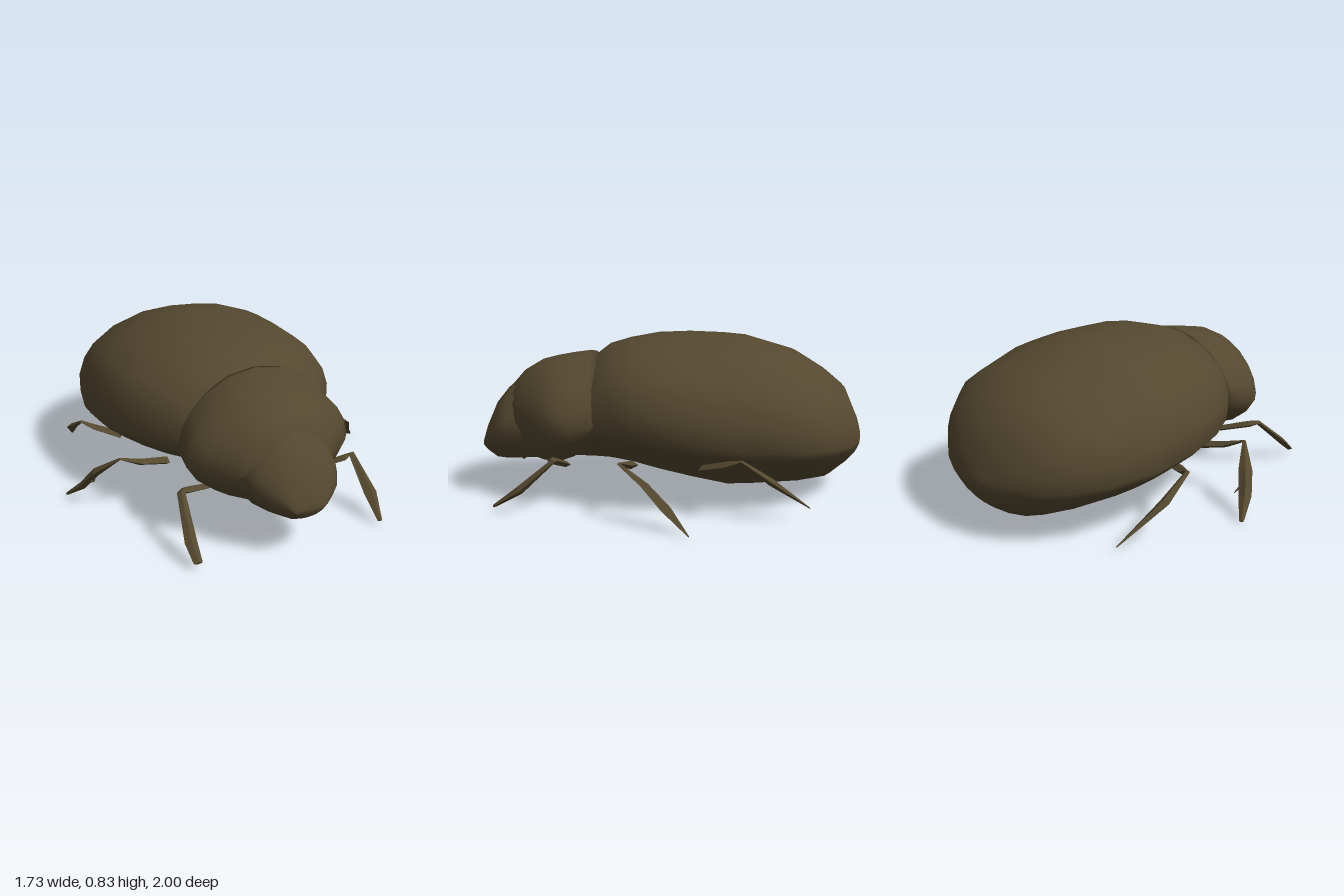
import * as THREE from 'three';

const shell = new THREE.MeshStandardMaterial({ color: 0x54482f });
shell.name = 'dark brown shell';

// Closed skin over a list of equal rings, each running counter-clockwise around the path
function skin(rings, name, faceted = false) {
  const n = rings[0].length, pos = [], index = [];
  rings.forEach(r => r.forEach(p => pos.push(p.x, p.y, p.z)));
  for (let i = 0; i < rings.length - 1; i++)
    for (let j = 0; j < n; j++) {
      const a = i * n + j, b = i * n + (j + 1) % n;
      index.push(a, b, b + n, a, b + n, a + n);
    }
  const last = (rings.length - 1) * n;
  [[rings[0], 0], [rings[rings.length - 1], last]].forEach(([ring, start], end) => {
    const c = ring.reduce((s, p) => s.add(p), new THREE.Vector3()).divideScalar(n);
    const k = pos.length / 3;
    pos.push(c.x, c.y, c.z);
    for (let j = 0; j < n; j++) {
      const a = start + j, b = start + (j + 1) % n;
      if (end) index.push(k, a, b); else index.push(k, b, a);
    }
  });
  let geo = new THREE.BufferGeometry();
  geo.setAttribute('position', new THREE.Float32BufferAttribute(pos, 3));
  geo.setIndex(index);
  if (faceted) geo = geo.toNonIndexed();
  geo.computeVertexNormals();
  const mesh = new THREE.Mesh(geo, shell);
  mesh.name = name;
  return mesh;
}

// Half outlines from belly keel to crown: [share of half width, height from -1 to 1 about the widest line]
const caseOutline = [[0, -1], [0.27, -0.89], [0.55, -0.68], [0.76, -0.4], [0.93, -0.13], [1, 0.02],
  [1, 0.25], [0.94, 0.47], [0.84, 0.64], [0.62, 0.84], [0.3, 0.975], [0, 1]];
const headOutline = [[0, -1], [0.35, -0.93], [0.66, -0.7], [0.88, -0.36], [1, 0],
  [0.95, 0.25], [0.85, 0.47], [0.64, 0.73], [0.34, 0.93], [0, 1]];

// Each row is [z, left x, right x, bottom, widest height, top]
function loft(rows, outline, name) {
  const mirrored = outline.slice(1, -1).reverse().map(([x, y]) => [-x, y]);
  const loop = [...outline, ...mirrored];
  return skin(rows.map(([z, x0, x1, bottom, mid, top]) => loop.map(([x, y]) => new THREE.Vector3(
    (x0 + x1) / 2 + x * (x1 - x0) / 2, mid + y * (y > 0 ? top - mid : mid - bottom), z))), name);
}

// Thin blade-like limb: joints are [x, y, z, half width]
function limb(joints, name) {
  const pts = joints.map(j => new THREE.Vector3(j[0], j[1], j[2]));
  const rings = pts.map((p, i) => {
    const t = pts[Math.min(i + 1, pts.length - 1)].clone().sub(pts[Math.max(i - 1, 0)]).normalize();
    const u = new THREE.Vector3(0, 1, 0).cross(t).normalize();
    const v = t.clone().cross(u);
    const w = joints[i][3];
    return [0, 1, 2, 3].map(k => p.clone()
      .addScaledVector(u, Math.cos(k * Math.PI / 2) * w)
      .addScaledVector(v, Math.sin(k * Math.PI / 2) * w * 0.6));
  });
  return skin(rings, name, true);
}

export function createModel() {
  const beetle = new THREE.Group();
  beetle.name = 'beetle';

  // Wing case and belly
  beetle.add(loft([
    [-1.0, -0.12, 0.03, 0.23, 0.27, 0.32],
    [-0.96, -0.26, 0.19, 0.17, 0.28, 0.42],
    [-0.9, -0.37, 0.3, 0.12, 0.28, 0.555],
    [-0.8, -0.48, 0.43, 0.05, 0.29, 0.64],
    [-0.65, -0.575, 0.55, 0.035, 0.3, 0.735],
    [-0.4, -0.63, 0.58, 0.02, 0.31, 0.81],
    [-0.28, -0.635, 0.585, 0.018, 0.32, 0.822],
    [-0.1, -0.635, 0.585, 0.06, 0.34, 0.83],
    [0.07, -0.61, 0.565, 0.105, 0.36, 0.825],
    [0.22, -0.55, 0.52, 0.15, 0.38, 0.8],
    [0.33, -0.48, 0.45, 0.17, 0.38, 0.77],
    [0.41, -0.42, 0.39, 0.175, 0.37, 0.71],
    [0.55, -0.33, 0.3, 0.18, 0.33, 0.55],
  ], caseOutline, 'wingCase'));

  // Pronotum shield, its rear edge sweeping forward below
  beetle.add(loft([
    [0.4, -0.415, 0.39, 0.3, 0.42, 0.738],
    [0.43, -0.43, 0.4, 0.26, 0.41, 0.742],
    [0.52, -0.45, 0.41, 0.19, 0.39, 0.73],
    [0.6, -0.46, 0.41, 0.16, 0.38, 0.715],
    [0.68, -0.41, 0.35, 0.165, 0.39, 0.695],
    [0.78, -0.31, 0.23, 0.19, 0.4, 0.635],
    [0.85, -0.23, 0.15, 0.24, 0.4, 0.555],
  ], headOutline, 'pronotum'));

  // Head
  beetle.add(loft([
    [0.62, -0.27, 0.2, 0.17, 0.36, 0.6],
    [0.78, -0.295, 0.205, 0.165, 0.36, 0.625],
    [0.87, -0.245, 0.19, 0.165, 0.34, 0.54],
    [0.93, -0.19, 0.155, 0.175, 0.31, 0.465],
    [0.98, -0.13, 0.09, 0.21, 0.28, 0.35],
    [1.0, -0.1, 0.05, 0.235, 0.255, 0.285],
  ], headOutline, 'head'));

  // Legs, each with its own pose
  const legs = {
    rightFrontLeg: [[-0.3, 0.2, 0.5, 0.025], [-0.45, 0.245, 0.57, 0.03], [-0.49, 0.255, 0.6, 0.02],
      [-0.525, 0.1, 0.79, 0.03], [-0.525, 0.035, 0.87, 0.022]],
    leftFrontLeg: [[0.28, 0.2, 0.55, 0.025], [0.4, 0.25, 0.61, 0.03], [0.445, 0.26, 0.6, 0.02],
      [0.458, 0.115, 0.77, 0.035], [0.435, 0.03, 0.9, 0.012]],
    rightMiddleLeg: [[-0.4, 0.22, 0.2, 0.035], [-0.55, 0.255, 0.225, 0.028], [-0.66, 0.3, 0.235, 0.01],
      [-0.75, 0.2, 0.13, 0.035], [-0.805, 0.1, 0.06, 0.032], [-0.86, 0.015, -0.04, 0.012]],
    leftMiddleLeg: [[0.38, 0.22, 0.22, 0.035], [0.5, 0.25, 0.25, 0.028], [0.59, 0.28, 0.28, 0.01],
      [0.68, 0.2, 0.16, 0.03], [0.745, 0.1, 0.06, 0.035], [0.86, 0.005, -0.04, 0.004]],
    rightRearLeg: [[-0.52, 0.24, -0.14, 0.035], [-0.63, 0.27, -0.22, 0.028], [-0.695, 0.3, -0.26, 0.012],
      [-0.7, 0.2, -0.43, 0.03], [-0.63, 0.04, -0.68, 0.004]],
    leftRearLeg: [[0.48, 0.22, -0.13, 0.035], [0.6, 0.265, -0.24, 0.04], [0.65, 0.3, -0.3, 0.012],
      [0.655, 0.2, -0.44, 0.03], [0.59, 0.05, -0.64, 0.004]],
    rightMiddleSpur: [[-0.77, 0.15, 0.11, 0.02], [-0.745, 0.1, 0.05, 0.003]],
    leftMiddleSpur: [[0.72, 0.14, 0.09, 0.02], [0.715, 0.05, 0.03, 0.003]],
  };
  for (const [name, joints] of Object.entries(legs)) beetle.add(limb(joints, name));

  return beetle;
}
